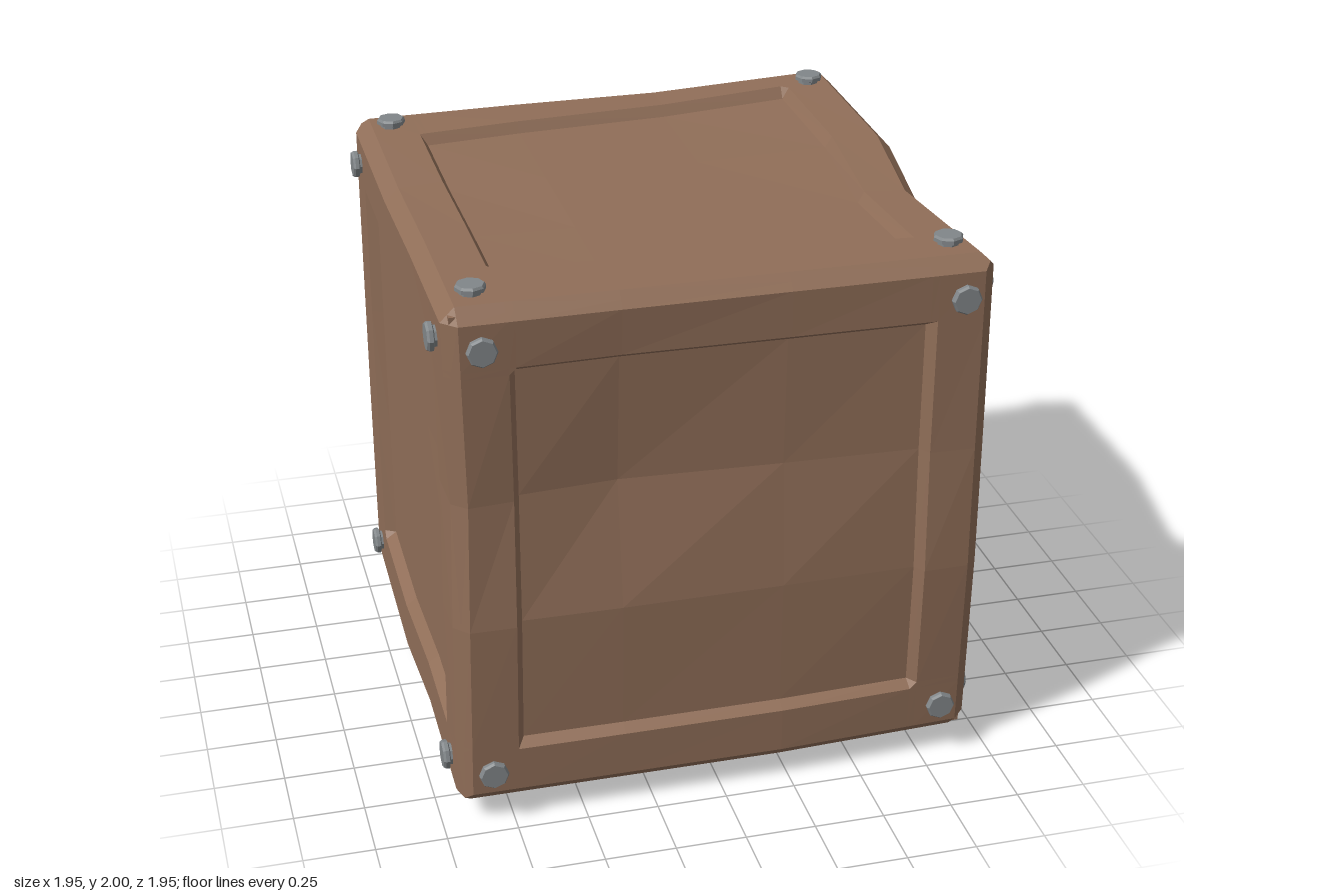
import * as THREE from 'three';

const wood = new THREE.MeshStandardMaterial({ color: 0x906e58 });
wood.name = 'brown wood';
const metal = new THREE.MeshStandardMaterial({ color: 0x818689 });
metal.name = 'grey metal';

const HALF = [0.935, 0.94, 0.935];
const BOLT_AT = [0.815, 0.803, 0.79];
const CENTRE_Y = 1.01;
const CHAMFER = 0.05, RIM = 0.725, PANEL = 0.70, DEPTH = 0.04;

// Lattice planes along x, y and z; the dents are shifts of single lattice points
const PLANES = [
  [-0.935, -0.35, 0.22, 0.935],
  [-0.94, -0.23, 0.23, 0.94],
  [-0.935, -0.2, 0.31, 0.935],
];
const DENTS = {
  // sagging bottom rails
  '0,0,1': [0, -0.073, 0], '3,0,1': [0.005, -0.073, 0], '1,0,1': [0, -0.03, 0],
  '3,0,3': [0, 0, -0.035], '0,0,0': [0, 0, 0.02], '3,0,0': [0, 0.012, 0],
  // raised bottom rail at the back
  '1,0,0': [0, 0.05, 0], '2,0,0': [0, 0.02, 0],
  // dent down the left side
  '3,0,2': [-0.045, 0, 0], '3,1,2': [-0.05, 0, 0], '3,2,2': [-0.05, 0, 0], '3,3,2': [-0.07, 0, 0],
  '3,2,1': [0.005, 0, 0], '3,3,1': [0.008, 0.012, 0],
  // lifted and shifted top corners
  '3,3,0': [0, 0.028, -0.015], '0,3,1': [0, -0.02, 0], '0,3,0': [0, 0, 0.012],
  // wavy front boards
  '0,2,3': [0.015, 0, -0.01], '1,2,3': [0, 0, -0.055], '2,2,3': [0, 0, -0.025],
  '1,1,3': [0, 0, 0.02], '2,1,3': [0, 0, 0.015], '0,1,3': [0, 0, 0.012], '0,0,3': [-0.01, 0, 0],
  // wavy back boards
  '1,2,0': [0, 0, -0.015], '2,2,0': [0, 0, -0.01], '1,1,0': [0, 0, 0.035], '2,1,0': [0, 0, 0.035],
};

// Slanted panel borders: [direction, shift at the (-,-), (+,-), (-,+), (+,+) corners]
const SLANTS = {
  '1,1': [0, [0.045, -0.11, -0.055, -0.01]],
  '0,1': [1, [0.01, 0.03, -0.055, -0.015]],
  '0,-1': [1, [0.04, 0.01, -0.01, -0.03]],
};

function locate(value, planes) {
  let i = 0;
  while (i < 2 && value > planes[i + 1]) i++;
  const t = (value - planes[i]) / (planes[i + 1] - planes[i]);
  return [i, Math.min(1, Math.max(0, t))];
}

// Moves a point by the dents of the lattice cell around it
function warp(p) {
  const cell = p.map((value, axis) => locate(value, PLANES[axis]));
  const out = [...p];
  for (let n = 0; n < 8; n++) {
    const bits = [n & 1, (n >> 1) & 1, n >> 2];
    const dent = DENTS[cell.map(([i], axis) => i + bits[axis]).join()];
    if (!dent) continue;
    const weight = cell.reduce((w, [, t], axis) => w * (bits[axis] ? t : 1 - t), 1);
    dent.forEach((d, axis) => { out[axis] += d * weight; });
  }
  out[1] += CENTRE_Y;
  return out;
}

function gridLines(axis) {
  const flat = HALF[axis] - CHAMFER, edge = HALF[axis] - CHAMFER / 2;
  return [-edge, -flat, -RIM, -PANEL, PLANES[axis][1], PLANES[axis][2], PANEL, RIM, flat, edge];
}

function makeMesh(name, positions) {
  const geometry = new THREE.BufferGeometry();
  geometry.setAttribute('position', new THREE.Float32BufferAttribute(positions, 3));
  geometry.computeVertexNormals();
  const mesh = new THREE.Mesh(geometry, wood);
  mesh.name = name;
  return mesh;
}

// One side of the crate: chamfered frame, bevelled rim and sunken panel
function makeSide(name, axis, sign) {
  const u = (axis + 1) % 3, v = (axis + 2) % 3;
  const us = gridLines(u), vs = gridLines(v);
  const slant = SLANTS[axis + ',' + sign];

  const vertex = (i, j) => {
    const p = [0, 0, 0];
    p[u] = us[i];
    p[v] = vs[j];
    const ring = Math.min(i, j, 9 - i, 9 - j);
    p[axis] = sign * (HALF[axis] - (ring === 0 ? CHAMFER / 2 : ring >= 3 ? DEPTH : 0));
    if (slant && ring >= 2) {
      const a = (us[i] / RIM + 1) / 2, b = (vs[j] / RIM + 1) / 2;
      const [c0, c1, c2, c3] = slant[1];
      p[slant[0] ? v : u] += (c0 * (1 - a) + c1 * a) * (1 - b) + (c2 * (1 - a) + c3 * a) * b;
    }
    return warp(p);
  };

  const frame = [], panel = [];
  for (let i = 0; i < 9; i++) {
    for (let j = 0; j < 9; j++) {
      const target = Math.min(i, j, 8 - i, 8 - j) >= 3 ? panel : frame;
      const q = [vertex(i, j), vertex(i + 1, j), vertex(i + 1, j + 1), vertex(i, j + 1)];
      if (sign < 0) q.reverse();
      for (const k of [0, 1, 2, 0, 2, 3]) target.push(...q[k]);
    }
  }
  const side = new THREE.Group();
  side.name = name;
  side.add(makeMesh(name + 'Frame', frame), makeMesh(name + 'Panel', panel));
  return side;
}

// Eight-sided bolt: narrow neck under a wide flat head
function makeBoltGeometry() {
  const profile = [[0.038, -0.02], [0.038, 0.008], [0.052, 0.013], [0.052, 0.026], [0.046, 0.034], [0, 0.034]];
  const lathe = new THREE.LatheGeometry(profile.map(([r, y]) => new THREE.Vector2(r, y)), 8);
  const geometry = lathe.toNonIndexed();
  geometry.computeVertexNormals();
  return geometry;
}

function addBolts(group, geometry, axis, sign) {
  const u = (axis + 1) % 3, v = (axis + 2) % 3;
  const normal = new THREE.Vector3().setComponent(axis, sign);
  for (const a of [-1, 1]) {
    for (const b of [-1, 1]) {
      const p = [0, 0, 0];
      p[axis] = sign * HALF[axis];
      p[u] = a * BOLT_AT[u];
      p[v] = b * BOLT_AT[v];
      const bolt = new THREE.Mesh(geometry, metal);
      bolt.name = 'bolt';
      bolt.position.set(...warp(p));
      bolt.quaternion.setFromUnitVectors(new THREE.Vector3(0, 1, 0), normal);
      group.add(bolt);
    }
  }
}

export function createModel() {
  const crate = new THREE.Group();
  crate.name = 'crate';
  const boltGeometry = makeBoltGeometry();
  const sides = [
    ['left', 0, 1], ['right', 0, -1], ['top', 1, 1],
    ['bottom', 1, -1], ['front', 2, 1], ['back', 2, -1],
  ];
  for (const [name, axis, sign] of sides) {
    const side = makeSide(name, axis, sign);
    if (name !== 'bottom') addBolts(side, boltGeometry, axis, sign);
    crate.add(side);
  }
  return crate;
}
